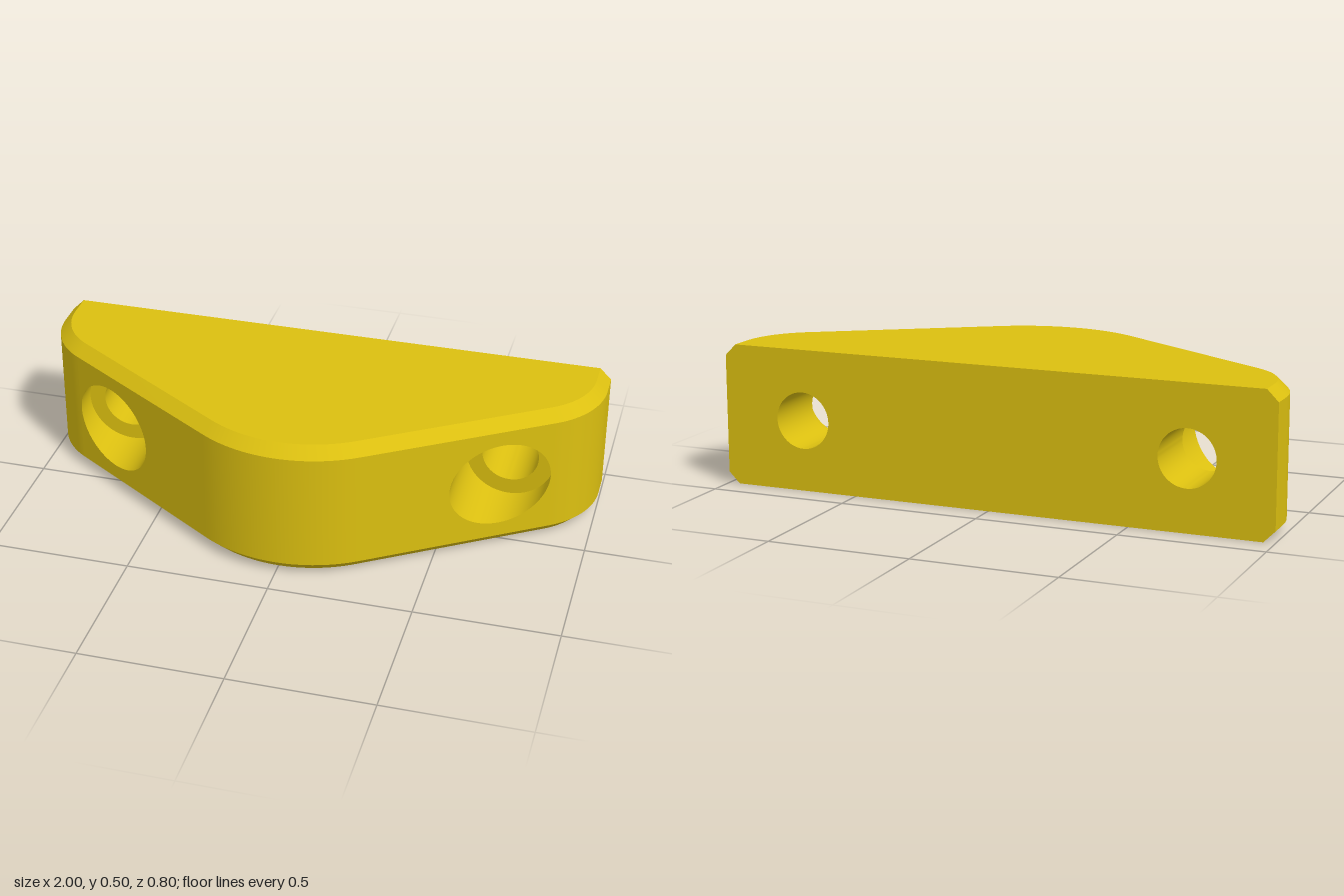
import * as THREE from 'three';
import { mergeGeometries, toCreasedNormals } from 'three/addons/utils/BufferGeometryUtils.js';

const H = 0.5, BACK = -0.4, BEVEL = 0.04;
const NOSE_R = 0.5, CORNER_R = 0.3, SLOPE = 0.574;
const HOLE_X = 0.7, HOLE_Y = 0.25, BOLT_R = 0.1, SINK_R = 0.157, SINK_Z = -0.15;
const POCKET_Z = -0.067;
const sin = Math.sin(SLOPE), cos = Math.cos(SLOPE);

// Sloping front line, tangent to the rounded nose
const noseZ = 0.4 - NOSE_R;
const lineC = noseZ * cos + NOSE_R;
const slantZ = x => (lineC - Math.abs(x) * sin) / cos;
const cornerX = 1 - CORNER_R;
const cornerZ = (lineC - CORNER_R - cornerX * sin) / cos;

// Arc in plan, inset from its edge
function arc(cx, cz, r, from, to, inset, n = 20) {
  return Array.from({ length: n + 1 }, (_, i) => {
    const a = from + (to - from) * i / n;
    return [cx + (r - inset) * Math.cos(a), cz + (r - inset) * Math.sin(a)];
  });
}

// Plan outline from the +x back corner round the nose to the -x back corner
function outlineParts(inset) {
  const a = Math.PI / 2 - SLOPE;
  const side = [[1 - inset, BACK], ...arc(cornerX, cornerZ, CORNER_R, 0, a, inset)];
  const nose = arc(0, noseZ, NOSE_R, a, Math.PI - a, inset, 32);
  const other = side.map(([x, z]) => [-x, z]).reverse();
  return [side, nose, other];
}
const row = (pts, y) => pts.map(([x, z]) => [x, y, z]);

// Smooth strip between two rows of points
function strip(a, b) {
  const n = a.length, index = [];
  for (let i = 0; i < n - 1; i++) index.push(i, n + i, n + i + 1, i, n + i + 1, i + 1);
  const g = new THREE.BufferGeometry();
  g.setAttribute('position', new THREE.Float32BufferAttribute([...a, ...b].flat(), 3));
  g.setIndex(index);
  return toCreasedNormals(g, 0.6);
}

function flat(points, holes = []) {
  const s = new THREE.Shape(points.map(([x, y]) => new THREE.Vector2(x, y)));
  for (const [x, y, r] of holes) s.holes.push(new THREE.Path().absarc(x, y, r, 0, Math.PI * 2, true));
  return new THREE.ShapeGeometry(s, 32);
}

const ring = (cx, r, zAt) => Array.from({ length: 65 }, (_, i) => {
  const a = i / 64 * Math.PI * 2, x = cx + r * Math.cos(a);
  return [x, HOLE_Y + r * Math.sin(a), zAt(x)];
});

export function createModel() {
  const group = new THREE.Group();
  const yellow = new THREE.MeshStandardMaterial({ color: 0xdcc010 });
  yellow.name = 'yellow';
  const add = (name, geometry) => {
    const m = new THREE.Mesh(geometry, yellow);
    m.name = name;
    group.add(m);
  };

  const outer = outlineParts(0), inner = outlineParts(BEVEL);
  const rim = outer.flat(), inset = inner.flat();

  // Rounded sides and nose
  add('roundedWalls', mergeGeometries(outer.map(p => strip(row(p, BEVEL), row(p, H - BEVEL)))));

  // Bevels along the top and bottom edges
  add('topBevel', strip(row(rim, H - BEVEL), row(inset, H)));
  add('bottomBevel', strip(row(inset, 0), row(rim, BEVEL)));

  // Top, and bottom opened for the round pocket
  add('topFace', flat(inset.map(([x, z]) => [x, -z])).rotateX(-Math.PI / 2).translate(0, H, 0));
  add('bottomFace', flat(inset, [[0, POCKET_Z, 0.33]]).rotateX(Math.PI / 2));

  // Flat back with two bolt holes
  const e = 1 - BEVEL, t = H - BEVEL;
  add('backFace', flat(
    [[-e, 0], [e, 0], [1, BEVEL], [1, t], [e, H], [-e, H], [-1, t], [-1, BEVEL]],
    [[HOLE_X, HOLE_Y, BOLT_R], [-HOLE_X, HOLE_Y, BOLT_R]]
  ).rotateY(Math.PI).translate(0, 0, BACK));

  for (const s of [1, -1]) {
    const label = s > 0 ? 'left' : 'right';

    // Sloping front panel pierced by the counterbore
    const x0 = s * NOSE_R * sin, x1 = s * (cornerX + CORNER_R * sin);
    const panel = flat([[x0, BEVEL], [x1, BEVEL], [x1, t], [x0, t]], [[s * HOLE_X, HOLE_Y, SINK_R]]);
    const p = panel.attributes.position;
    for (let i = 0; i < p.count; i++) p.setZ(i, slantZ(p.getX(i)));
    panel.computeVertexNormals();
    add(label + 'FrontPanel', panel);

    // Bolt hole, seat and counterbore, back to front
    const rings = [
      ring(s * HOLE_X, BOLT_R, () => BACK), ring(s * HOLE_X, BOLT_R, () => SINK_Z),
      ring(s * HOLE_X, SINK_R, () => SINK_Z), ring(s * HOLE_X, SINK_R, slantZ),
    ];
    add(label + 'BoltHole', mergeGeometries([0, 1, 2].map(i => strip(rings[i], rings[i + 1]))));
  }

  // Stepped round pocket in the underside
  const profile = [[0, 0.4], [0.25, 0.4], [0.25, 0.16], [0.29, 0.16], [0.29, 0.04], [0.33, 0]];
  const pocket = new THREE.LatheGeometry(profile.map(([r, y]) => new THREE.Vector2(r, y)), 64);
  add('bottomPocket', toCreasedNormals(pocket, 0.5).translate(0, 0, POCKET_Z));

  return group;
}
